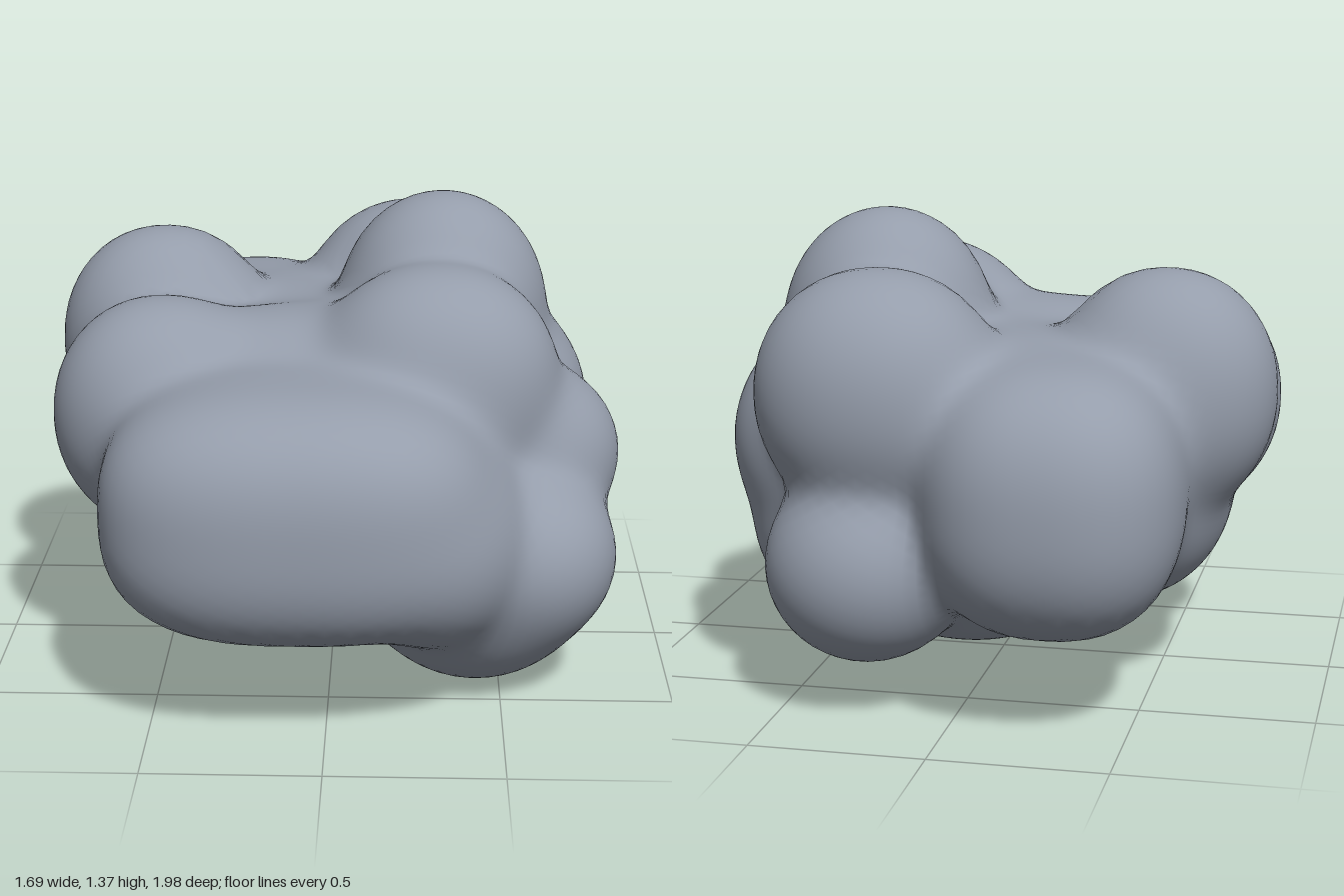
import * as THREE from 'three';
import { mergeVertices } from 'three/addons/utils/BufferGeometryUtils.js';

// Each lump: centre, radii, roundness (2 = ellipsoid, higher = boxier)
const lumps = [
  { c: [0, 0.62, 0], r: [0.6, 0.42, 0.68], p: 2 },             // core
  { c: [-0.1, 0.8, 0.16], r: [0.45, 0.27, 0.28], p: 2.2 },     // ridge between front shoulders
  { c: [-0.12, 0.78, -0.32], r: [0.4, 0.26, 0.4], p: 2.2 },    // rear saddle
  { c: [-0.1, 0.63, 0.6], r: [0.54, 0.36, 0.39], p: 2.7 },     // broad front
  { c: [0.28, 0.52, 0.54], r: [0.27, 0.3, 0.33], p: 2 },       // front left corner
  { c: [-0.53, 0.88, -0.23], r: [0.32, 0.35, 0.28], p: 2.1 },  // right shoulder, rear
  { c: [-0.5, 0.78, 0.21], r: [0.32, 0.34, 0.29], p: 2.1 },    // right shoulder, front
  { c: [-0.42, 0.56, -0.1], r: [0.29, 0.32, 0.38], p: 2 },     // right flank, low
  { c: [0.32, 1.03, -0.12], r: [0.31, 0.34, 0.28], p: 2 },     // crown
  { c: [0.3, 0.9, 0.25], r: [0.35, 0.33, 0.29], p: 2.1 },      // left shoulder, front
  { c: [0.24, 0.9, -0.54], r: [0.35, 0.35, 0.31], p: 2.1 },    // left shoulder, rear
  { c: [-0.28, 0.64, -0.63], r: [0.36, 0.38, 0.36], p: 2.4 },  // big back
  { c: [0.26, 0.42, -0.6], r: [0.29, 0.28, 0.29], p: 2 },      // low back
  { c: [0.57, 0.66, 0.17], r: [0.27, 0.26, 0.25], p: 2 },      // left flank, middle
  { c: [0.56, 0.42, 0.4], r: [0.26, 0.25, 0.27], p: 2 },       // left flank, front
  { c: [0.42, 0.35, 0.26], r: [0.36, 0.35, 0.39], p: 2 },      // left flank, low
  { c: [0.49, 0.69, -0.19], r: [0.28, 0.33, 0.3], p: 2 },      // left flank, rear
  { c: [0.42, 0.42, -0.18], r: [0.29, 0.28, 0.3], p: 2 },      // left flank, low rear
  { c: [-0.04, 0.38, 0.08], r: [0.42, 0.27, 0.42], p: 2.2 },   // belly
  { c: [0.05, 0.38, -0.18], r: [0.36, 0.28, 0.36], p: 2.1 },   // belly, rear
];
const BLEND = 0.032;

// Smooth union of all lumps: negative inside
function field(x, y, z) {
  let sum = 0;
  for (const { c, r, p } of lumps) {
    const q = Math.abs((x - c[0]) / r[0]) ** p
      + Math.abs((y - c[1]) / r[1]) ** p
      + Math.abs((z - c[2]) / r[2]) ** p;
    sum += Math.exp(-(q ** (1 / p) - 1) * Math.min(...r) / BLEND);
  }
  return -BLEND * Math.log(sum + 1e-300);
}

// Distance from the middle to the outermost surface along a direction
function reach(d, o) {
  const at = (t) => field(o.x + d.x * t, o.y + d.y * t, o.z + d.z * t);
  let hi = 1.4;
  while (hi > 0.05 && at(hi - 0.02) > 0) hi -= 0.02;
  let lo = hi - 0.02;
  for (let i = 0; i < 10; i++) {
    const mid = (lo + hi) / 2;
    if (at(mid) > 0) hi = mid; else lo = mid;
  }
  return hi;
}

export function createModel() {
  const group = new THREE.Group();
  group.name = 'lumpyCloud';

  // Shrink-wrap a fine sphere onto the lumps
  let geo = new THREE.IcosahedronGeometry(1, 26);
  geo.deleteAttribute('normal');
  geo.deleteAttribute('uv');
  geo = mergeVertices(geo, 1e-4);
  const pos = geo.attributes.position;
  const middle = new THREE.Vector3(0, 0.64, 0);
  const v = new THREE.Vector3();
  for (let i = 0; i < pos.count; i++) {
    v.fromBufferAttribute(pos, i).normalize();
    v.multiplyScalar(reach(v, middle)).add(middle);
    pos.setXYZ(i, v.x, v.y, v.z);
  }

  // Centre it and stand it on the ground
  geo.computeBoundingBox();
  const mid = geo.boundingBox.getCenter(new THREE.Vector3());
  geo.translate(-mid.x, -geo.boundingBox.min.y, -mid.z);
  geo.computeVertexNormals();

  const body = new THREE.Mesh(geo, new THREE.MeshStandardMaterial({ color: 0x959dab }));
  body.name = 'cloudBody';
  group.add(body);
  return group;
}
